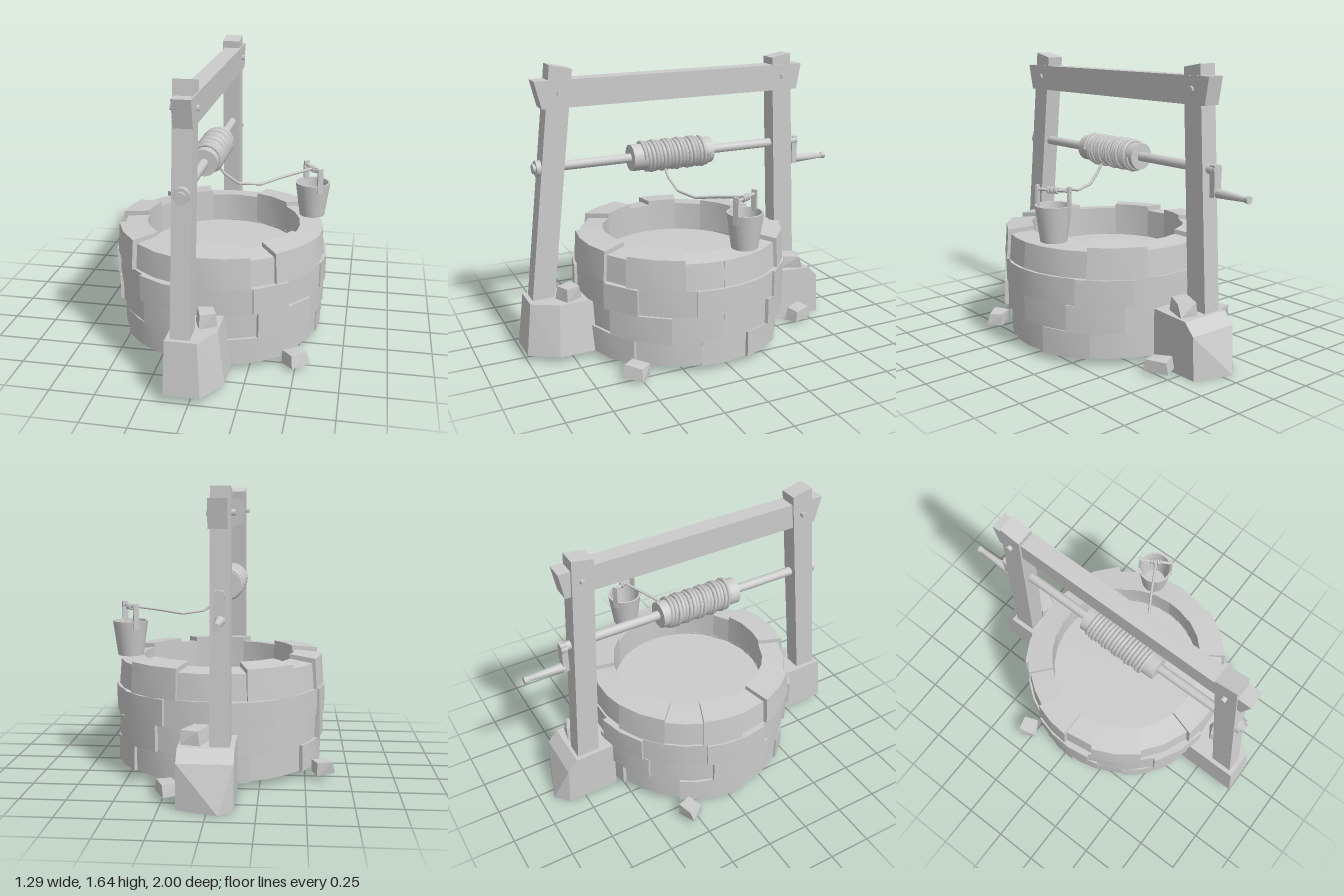
import * as THREE from 'three';
import { toCreasedNormals } from 'three/addons/utils/BufferGeometryUtils.js';
import { ConvexGeometry } from 'three/addons/geometries/ConvexGeometry.js';

const V = (x, y, z) => new THREE.Vector3(x, y, z);
const RAD = Math.PI / 180;
const CENTRE = { x: 0.01, z: 0.05 };
const POST_X = -0.052;
const AXLE_Y = 1.08;

export function createModel() {
  const root = new THREE.Group();
  root.name = 'well';
  const mat = new THREE.MeshStandardMaterial({ color: 0xcccccc, side: THREE.DoubleSide });

  let seed = 7;
  const rand = () => (seed = (seed * 16807) % 2147483647) / 2147483647;
  const jitter = (a) => (rand() * 2 - 1) * a;

  function add(name, geo, parent = root) {
    const mesh = new THREE.Mesh(geo, mat);
    mesh.name = name;
    parent.add(mesh);
    return mesh;
  }
  const creased = (geo) => toCreasedNormals(geo, 35 * RAD);
  // Solid through corner points given as [x, y, z]
  const hull = (name, pts, parent) => add(name, new ConvexGeometry(pts.map((p) => V(...p))), parent);
  // Side outline given as [z, y], spanned between two x values
  const sideSlab = (name, x0, x1, outline) =>
    hull(name, outline.flatMap(([z, y]) => [[x0, y, z], [x1, y, z]]));
  // Cylinder lying between two points
  function rod(name, a, b, ra, rb = ra, sides = 12, parent = root) {
    const dir = b.clone().sub(a);
    const mesh = add(name, creased(new THREE.CylinderGeometry(rb, ra, dir.length(), sides)), parent);
    mesh.position.copy(a).add(b).multiplyScalar(0.5);
    mesh.quaternion.setFromUnitVectors(V(0, 1, 0), dir.normalize());
    return mesh;
  }

  // Stone ring: one curved block per pair of neighbouring angles
  const ring = new THREE.Group();
  ring.name = 'stoneRing';
  ring.position.set(CENTRE.x, 0, CENTRE.z);
  root.add(ring);

  function stone(name, a0, a1, inner, outer, y0, y1, taper) {
    const n = Math.max(1, Math.round((a1 - a0) / 14));
    const pts = [];
    const arc = (r, i) => {
      const a = (a0 + ((a1 - a0) * i) / n) * RAD;
      pts.push(new THREE.Vector2(Math.cos(a) * r, -Math.sin(a) * r));
    };
    for (let i = 0; i <= n; i++) arc(outer, i);
    for (let i = n; i >= 0; i--) arc(inner, i);
    const geo = new THREE.ExtrudeGeometry(new THREE.Shape(pts), { depth: y1 - y0, bevelEnabled: false });
    geo.rotateX(-Math.PI / 2).translate(0, y0, 0);
    const p = geo.attributes.position;
    // Draw the outer top edge inward and slightly down
    for (let i = 0; i < p.count; i++) {
      const r = Math.hypot(p.getX(i), p.getZ(i));
      if (taper && p.getY(i) > y1 - 0.01 && r > (inner + outer) / 2) {
        p.setXYZ(i, p.getX(i) * taper, y1 - 0.015, p.getZ(i) * taper);
      }
    }
    add(name, creased(geo), ring);
  }

  const courses = [
    { y: [0.04, 0.19], r: 0.592, cuts: [12, 48, 78, 108, 145, 178, 215, 250, 282, 318, 345] },
    { y: [0.19, 0.34], r: 0.603, cuts: [0, 28, 62, 90, 126, 160, 196, 232, 268, 300, 330] },
    { y: [0.34, 0.49], r: 0.615, cuts: [15, 45, 65, 96, 127, 165, 200, 235, 262, 295, 325] },
    { y: [0.49, 0.66], r: 0.603, cuts: [0, 21, 52, 66, 105, 135, 163, 180, 202, 223, 251, 288, 319], top: true },
  ];
  courses.forEach(({ y, r, cuts, top }) => {
    cuts.forEach((a, i) => {
      const next = i + 1 < cuts.length ? cuts[i + 1] : cuts[0] + 360;
      const outer = r + (i % 2 ? 0.012 : -0.008) + jitter(0.006);
      const y1 = top ? y[1] + (i % 2 ? 0.018 : -0.008) : y[1];
      stone(top ? 'rimStone' : 'wallStone', a, next, 0.45, outer, y[0], y1, top ? 0.98 : 0);
    });
  });
  const core = add('wellFloor', creased(new THREE.CylinderGeometry(0.575, 0.575, 0.44, 24)), ring);
  core.position.y = 0.26;

  // Stone footings under the posts
  hull('frontFooting', [
    [-0.135, 0.04, 0.63], [-0.135, 0.04, 1], [0.06, 0.04, 1], [0.16, 0.04, 0.84], [0.16, 0.04, 0.63],
    [-0.13, 0.335, 0.6], [-0.13, 0.335, 0.965], [0.04, 0.335, 0.965], [0.12, 0.335, 0.82], [0.12, 0.335, 0.6],
  ]);
  hull('backFooting', [
    [-0.135, 0, -0.54], [-0.135, 0, -0.85], [-0.06, 0, -0.92], [0.16, 0, -0.85], [0.16, 0, -0.54],
    [-0.135, 0.24, -0.84], [0.16, 0.24, -0.84],
    [-0.135, 0.305, -0.78], [0.16, 0.305, -0.78], [-0.135, 0.315, -0.54], [0.16, 0.315, -0.54],
  ]);

  // Loose stones: boxes with uneven corners, [x, y, z, width, height, depth, turn]
  [
    [0.045, 0.37, 0.745, 0.09, 0.08, 0.11, 25],
    [0.075, 0.345, -0.675, 0.11, 0.08, 0.15, -20],
    [-0.6, 0.07, -0.285, 0.1, 0.075, 0.1, 20],
    [0.23, 0.055, -0.66, 0.09, 0.07, 0.13, 20],
    [0.495, 0.055, 0.52, 0.13, 0.07, 0.1, 40],
    [0.28, 0.033, 0, 0.17, 0.026, 0.1, 15],
  ].forEach(([x, y, z, w, h, d, turn]) => {
    const pts = [];
    for (const sx of [-0.5, 0.5]) for (const sy of [-0.5, 0.5]) for (const sz of [-0.5, 0.5]) {
      const k = sy > 0 ? 0.85 : 1;
      pts.push([sx * w * k + jitter(0.01), sy * h + jitter(h * 0.08), sz * d * k + jitter(0.01)]);
    }
    const rock = hull('looseStone', pts);
    rock.position.set(x, y, z);
    rock.rotation.y = turn * RAD;
  });

  // Timber frame
  sideSlab('frontPost', -0.105, -0.002, [[0.943, 0.3], [0.815, 0.3], [0.66, 1.613], [0.785, 1.64]]);
  sideSlab('backPost', -0.108, -0.004, [[-0.63, 0.28], [-0.762, 0.28], [-0.69, 1.622], [-0.568, 1.602]]);
  sideSlab('topBeam', -0.095, 0.004, [[0.872, 1.56], [0.835, 1.41], [-0.735, 1.41], [-0.762, 1.56]]);
  for (const z of [0.735, -0.638]) rod('beamPeg', V(-0.13, 1.49, z), V(0.018, 1.49, z), 0.016);

  // Winch: axle, drum, end cap and crank
  const axis = (z, y = AXLE_Y) => V(POST_X, y, z);
  rod('axle', axis(0.89), axis(-0.76), 0.027);
  rod('axleCap', axis(0.875), axis(0.845), 0.045);
  rod('drum', axis(0.32), axis(-0.18), 0.076, 0.076, 20);
  const arm = add('crankArm', new THREE.BoxGeometry(0.05, 0.17, 0.035));
  arm.position.set(POST_X - 0.005, 1.02, -0.763);
  rod('crankArmTop', V(POST_X - 0.005, 1.08, -0.745), V(POST_X - 0.005, 1.08, -0.781), 0.03);
  rod('crankHandle', V(-0.06, 0.958, -0.765), V(-0.06, 0.956, -0.98), 0.027, 0.015);
  rod('handleKnob', V(-0.06, 0.956, -0.975), V(-0.06, 0.956, -1), 0.018, 0.021);

  // Rope wound on the drum, slightly uneven
  const coil = [];
  const turns = 17;
  for (let i = 0; i <= turns * 12; i++) {
    const a = (i / 12) * Math.PI * 2;
    const r = 0.08 + 0.004 * Math.sin(i * 0.37);
    const z = 0.25 - (i / (turns * 12)) * 0.39 + 0.008 * Math.sin(a);
    coil.push(V(POST_X + Math.cos(a) * r, AXLE_Y + Math.sin(a) * r, z));
  }
  add('ropeCoil', new THREE.TubeGeometry(new THREE.CatmullRomCurve3(coil), 400, 0.0115, 6));

  // Slack rope to the bucket
  const ropePath = new THREE.CurvePath();
  const ropePts = [V(-0.01, 1.015, 0.125), V(0.025, 0.965, 0.12), V(0.105, 0.9, 0.095),
    V(0.23, 0.886, 0.045), V(0.36, 0.918, -0.03), V(0.52, 0.95, -0.115)];
  for (let i = 1; i < ropePts.length; i++) ropePath.add(new THREE.LineCurve3(ropePts[i - 1], ropePts[i]));
  add('rope', new THREE.TubeGeometry(ropePath, 40, 0.008, 6));

  // Bucket with two ears, a cross bar and the rope knot
  const bucket = new THREE.Group();
  bucket.name = 'bucket';
  bucket.position.set(0.515, 0.665, -0.115);
  bucket.rotation.y = 30 * RAD;
  root.add(bucket);
  const profile = [[0, 0], [0.074, 0], [0.102, 0.2], [0.09, 0.2], [0.066, 0.02], [0, 0.02]];
  add('pail', creased(new THREE.LatheGeometry(profile.map((p) => new THREE.Vector2(...p)), 24)), bucket);
  for (const s of [-1, 1]) {
    const ear = add('bucketEar', new THREE.BoxGeometry(0.032, 0.15, 0.014), bucket);
    ear.position.set(0, 0.228, s * 0.094);
  }
  rod('bucketBar', V(0, 0.28, -0.105), V(0, 0.28, 0.105), 0.009, 0.009, 8, bucket);
  for (let i = -2; i <= 2; i++) {
    const loop = add('ropeKnot', new THREE.TorusGeometry(0.013, 0.007, 6, 12), bucket);
    loop.position.set(0, 0.28, i * 0.012);
    loop.rotation.y = i % 2 ? 0.3 : -0.2;
  }

  return root;
}
